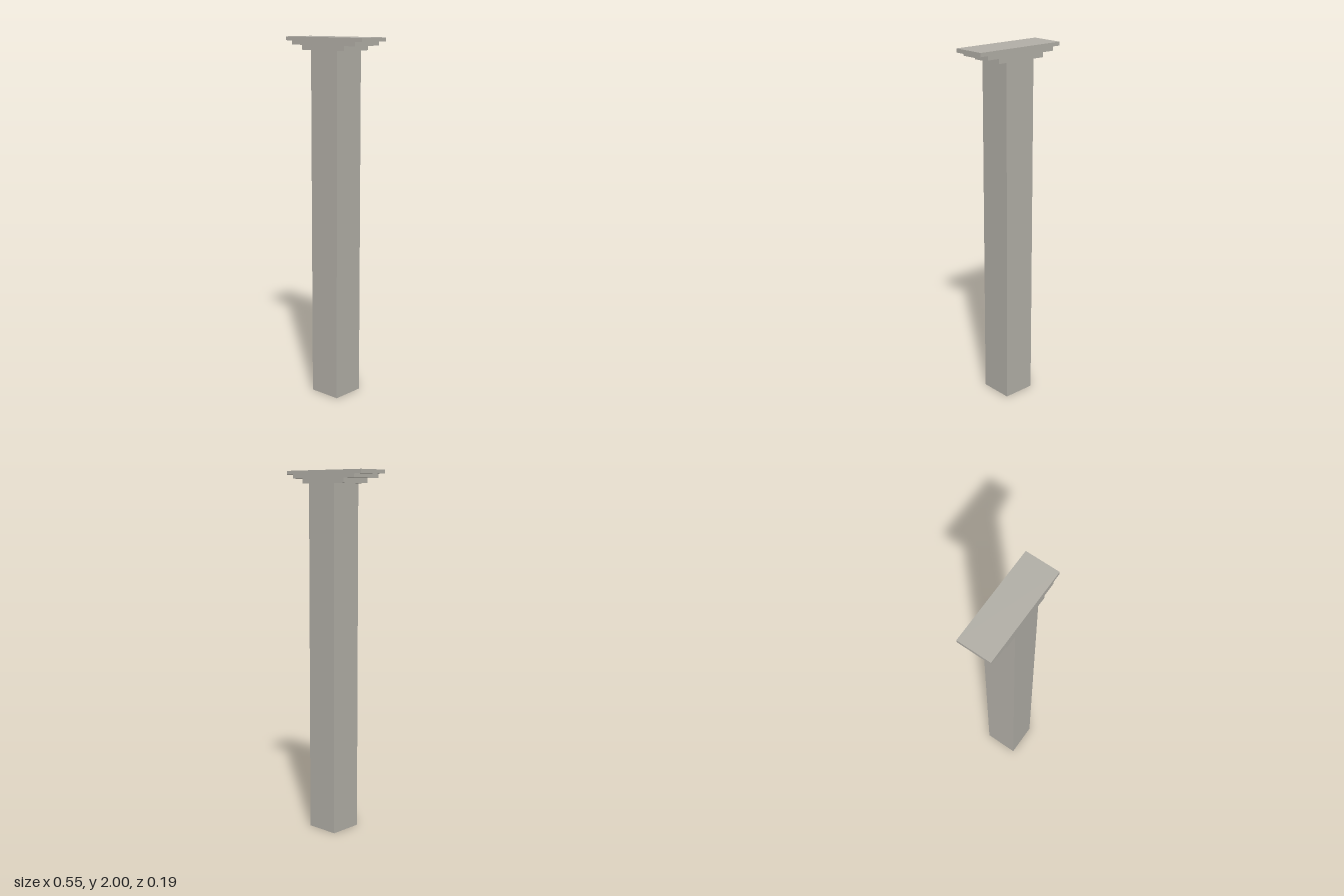
import * as THREE from 'three';

const DEPTH = 0.19;
const TOP = 2;

export function createModel() {
  const stone = new THREE.MeshStandardMaterial({ color: 0xb1aea6 });
  stone.name = 'warm grey stone';

  // Shaft edges (slightly off centre under the cap)
  const shaft = { left: -0.085, right: 0.102 };
  // Cap tiers from the lowest up: half width and underside height
  const tiers = [
    { half: 0.152, y: 1.931 },
    { half: 0.227, y: 1.957 },
    { half: 0.274, y: 1.979 },
  ];

  // One continuous silhouette: up the right side, across the top, down the left
  const outline = [[shaft.left, 0], [shaft.right, 0]];
  let x = shaft.right;
  for (const { half, y } of tiers) {
    outline.push([x, y], [half, y]);
    x = half;
  }
  outline.push([x, TOP], [-x, TOP]);
  for (let i = tiers.length - 1; i >= 0; i--) {
    const inner = i > 0 ? -tiers[i - 1].half : shaft.left;
    outline.push([-tiers[i].half, tiers[i].y], [inner, tiers[i].y]);
  }

  const shape = new THREE.Shape(outline.map(([px, py]) => new THREE.Vector2(px, py)));
  const geometry = new THREE.ExtrudeGeometry(shape, { depth: DEPTH, bevelEnabled: false });
  geometry.translate(0, 0, -DEPTH / 2);

  const pillar = new THREE.Mesh(geometry, stone);
  pillar.name = 'pillarWithSteppedCap';

  const group = new THREE.Group();
  group.name = 'pillar';
  group.add(pillar);
  return group;
}
